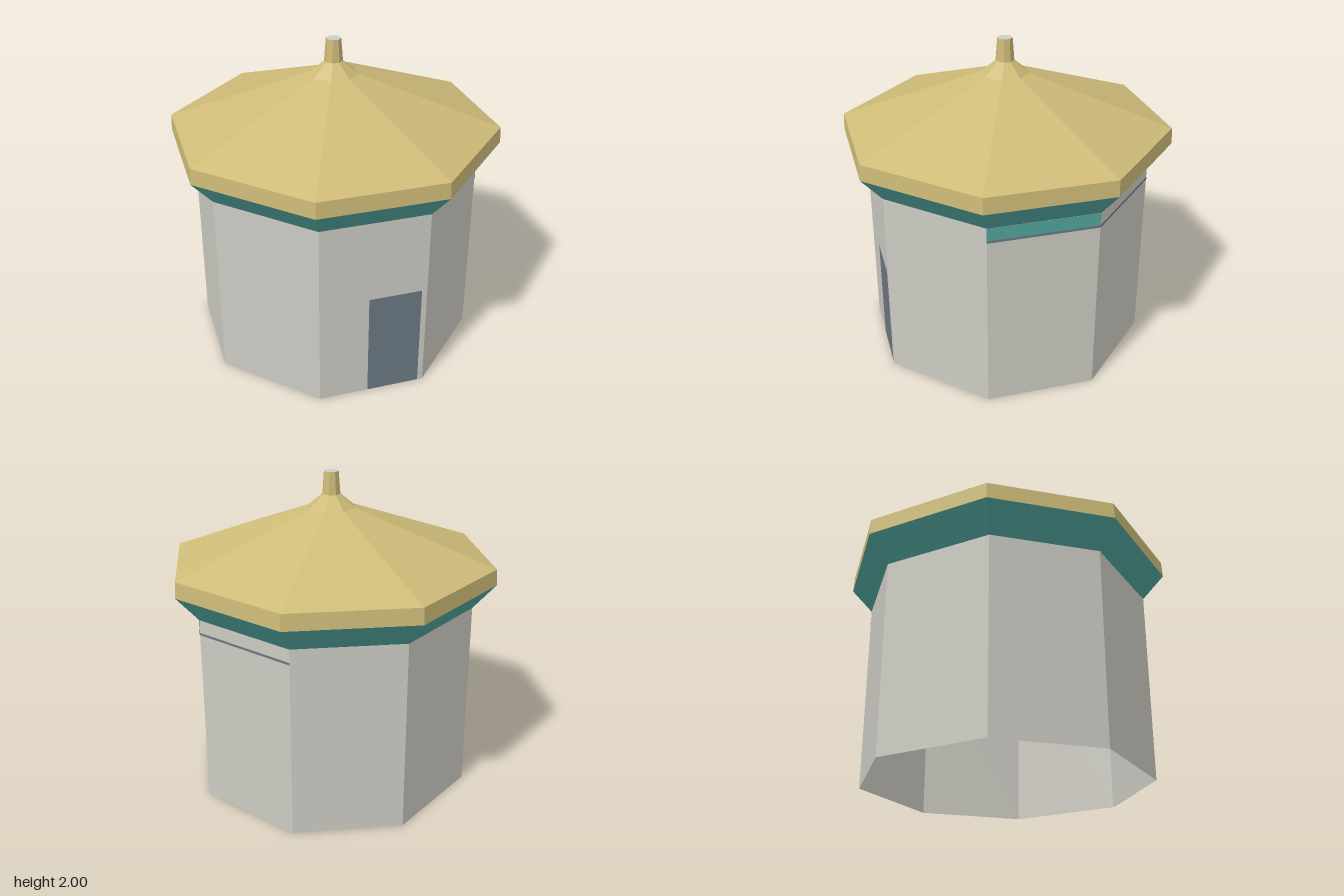
import * as THREE from 'three';

const CORNER = 0.403; // half edge length relative to the octagon's half width

// Eight corners, starting on the front face and turning towards +x
function ring(a, y) {
  const c = a * CORNER;
  return [[-c, a], [c, a], [a, c], [a, -c], [c, -a], [-c, -a], [-a, -c], [-a, c]]
    .map(([x, z]) => new THREE.Vector3(x, y, z));
}

// Faceted octagonal shell through [half width, height] rings; sides picks the faces to build
function shell(profile, sides = [0, 1, 2, 3, 4, 5, 6, 7]) {
  const points = [];
  for (let r = 0; r < profile.length - 1; r++) {
    const low = ring(...profile[r]);
    const high = ring(...profile[r + 1]);
    for (const i of sides) {
      const j = (i + 1) % 8;
      points.push(low[i], low[j], high[j], low[i], high[j], high[i]);
    }
  }
  const geometry = new THREE.BufferGeometry().setFromPoints(points);
  geometry.computeVertexNormals();
  return geometry;
}

export function createModel() {
  const model = new THREE.Group();
  const material = (color) =>
    new THREE.MeshStandardMaterial({ color, flatShading: true, side: THREE.DoubleSide });
  const grey = material(0xcccccc);
  const wall = material(0xcccac2);
  const tan = material(0xcebb78);
  const teal = material(0x52a59d);
  const slate = material(0x6c7884);

  const add = (name, geometry, mat) => {
    const mesh = new THREE.Mesh(geometry, mat);
    mesh.name = name;
    model.add(mesh);
    return mesh;
  };

  // Walls, open underneath
  add('walls', shell([[0.83, 0], [0.83, 1.2]]), wall);

  // Door, set off-centre on the front wall
  const door = add('door', new THREE.PlaneGeometry(0.33, 0.68), slate);
  door.position.set(0.135, 0.34, 0.832);

  // Painted band on the left wall and thin line running on to the back left wall
  add('wallBand', shell([[0.832, 1.12], [0.832, 1.2]], [2]), teal);
  add('wallLine', shell([[0.832, 1.105], [0.832, 1.12]], [2, 3]), slate);

  // Flared eaves
  add('eaves', shell([[0.83, 1.2], [0.958, 1.36]]), teal);

  // Roof edge, main slope and steeper neck
  add('roof', shell([[0.958, 1.36], [0.953, 1.46], [0.14, 1.78], [0.05, 1.86]]), tan);

  // Finial with a flat top
  add('finial', shell([[0.053, 1.86], [0.043, 2]]), tan);
  add('finialTop', shell([[0.043, 2], [0, 2]]), grey);

  return model;
}
